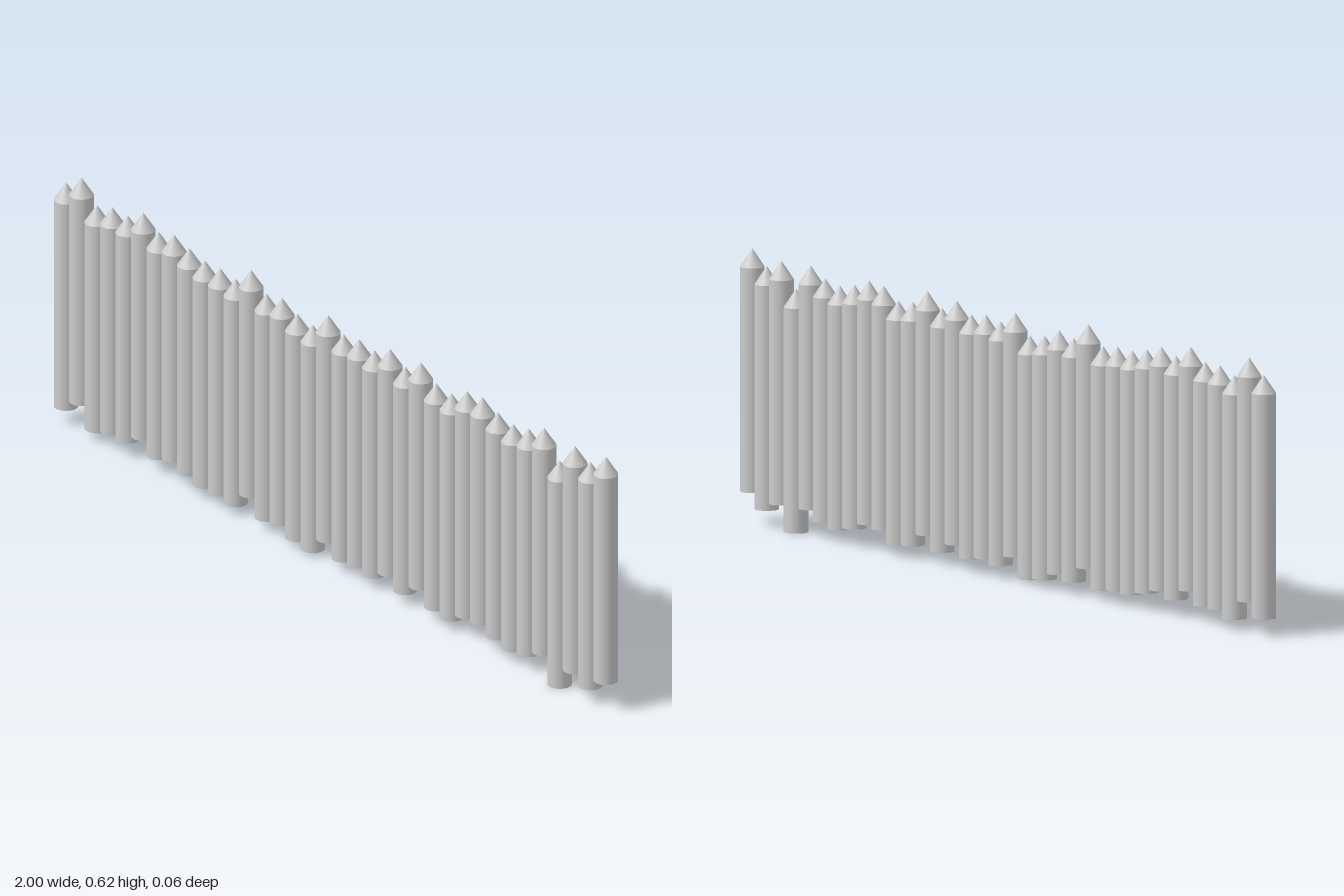
import * as THREE from 'three';

export function createModel() {
  const group = new THREE.Group();
  group.name = 'palisade';
  const material = new THREE.MeshStandardMaterial({ color: 0xcccccc });

  const radius = 0.0278, shaftHeight = 0.51, tipHeight = 0.042, sides = 24;

  // Height of each stake's foot, from -x to +x
  const feet = [
    0.038, 0.07, 0.023, 0.038, 0.038, 0.065, 0.038, 0.051, 0.038,
    0.028, 0.029, 0.023, 0.065, 0.027, 0.037, 0.018, 0.011, 0.055,
    0.028, 0.036, 0.029, 0.053, 0.029, 0.06, 0.029, 0.024, 0.05,
    0.055, 0.038, 0.029, 0.038, 0.06, 0, 0.056, 0.037, 0.07,
  ];

  // Shared shaft and pointed tip
  const shaftGeometry = new THREE.CylinderGeometry(radius, radius, shaftHeight, sides);
  shaftGeometry.translate(0, shaftHeight / 2, 0);
  const tipGeometry = new THREE.ConeGeometry(radius, tipHeight, sides, 1, true);
  tipGeometry.translate(0, shaftHeight + tipHeight / 2, 0);

  // Row of touching stakes
  const spacing = (2 - 2 * radius) / (feet.length - 1);
  feet.forEach((y, i) => {
    const stake = new THREE.Group();
    stake.name = `stake${i + 1}`;
    const shaft = new THREE.Mesh(shaftGeometry, material);
    shaft.name = 'shaft';
    const tip = new THREE.Mesh(tipGeometry, material);
    tip.name = 'tip';
    stake.add(shaft, tip);
    stake.position.set(-1 + radius + i * spacing, y, 0);
    group.add(stake);
  });

  return group;
}
